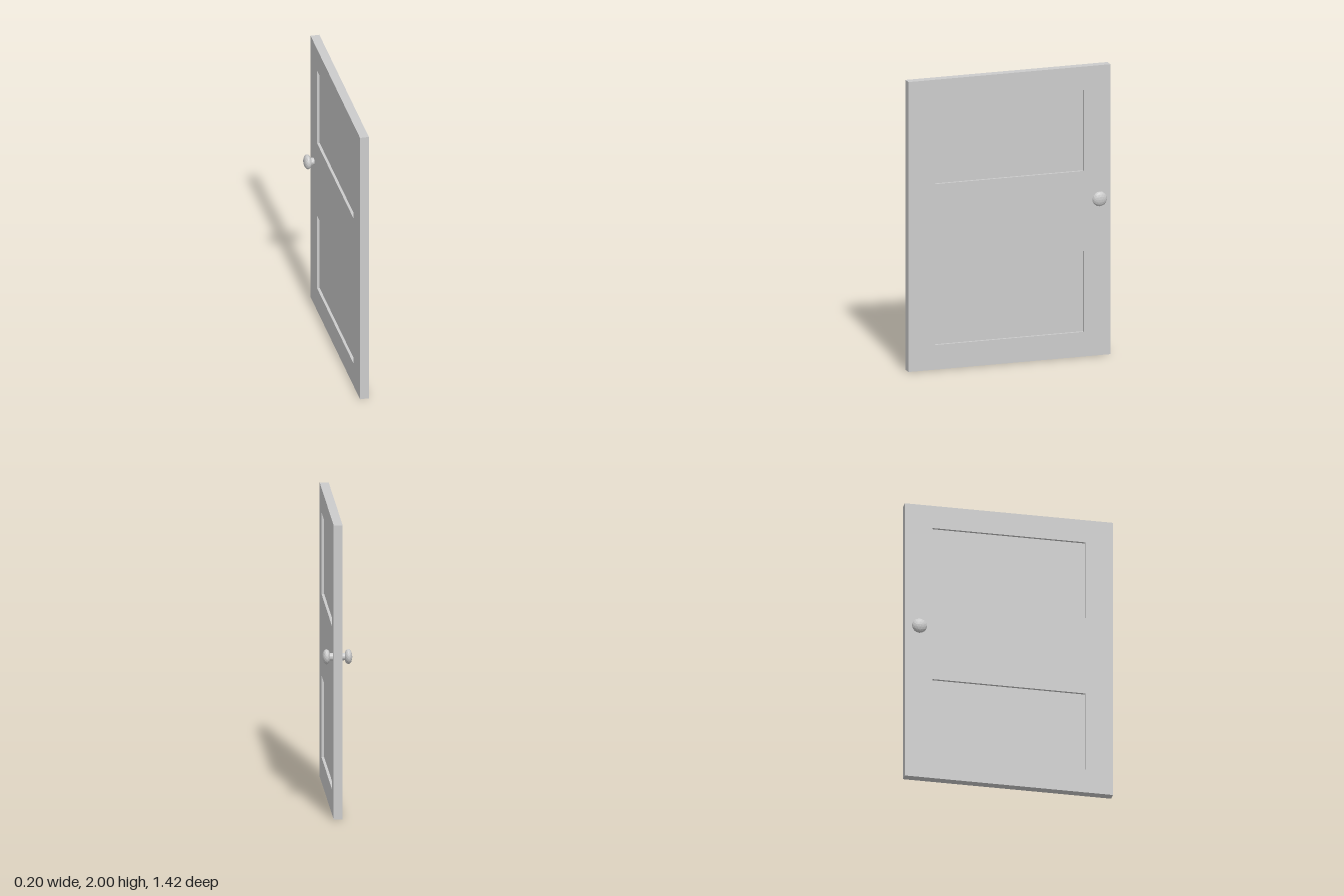
import * as THREE from 'three';

export function createModel() {
  const group = new THREE.Group();
  const material = new THREE.MeshStandardMaterial({ color: 0xcccccc, flatShading: true });
  const add = (name, geometry, x, y, z) => {
    const mesh = new THREE.Mesh(geometry, material);
    mesh.name = name;
    mesh.position.set(x, y, z);
    group.add(mesh);
    return mesh;
  };

  const halfWidth = 0.71, thickness = 0.06, panelHalf = 0.523, recess = 0.018;
  const panels = [[0.17, 0.727], [1.28, 1.837]];

  // Frame: slab outline with two openings, extruded through the thickness
  const rect = (path, w, y0, y1) => path.moveTo(-w, y0).lineTo(w, y0).lineTo(w, y1).lineTo(-w, y1).closePath();
  const outline = new THREE.Shape();
  rect(outline, halfWidth, 0, 2);
  for (const [y0, y1] of panels) {
    const hole = new THREE.Path();
    rect(hole, panelHalf, y0, y1);
    outline.holes.push(hole);
  }
  const frame = new THREE.ExtrudeGeometry(outline, { depth: thickness, bevelEnabled: false });
  frame.translate(0, 0, -thickness / 2).rotateY(Math.PI / 2);
  add('doorFrame', frame, 0, 0, 0);

  // Recessed panels filling the openings
  panels.forEach(([y0, y1], i) => {
    const panel = new THREE.BoxGeometry(thickness - 2 * recess, y1 - y0, panelHalf * 2);
    add(i ? 'upperPanel' : 'lowerPanel', panel, 0, (y0 + y1) / 2, 0);
  });

  // Stem and flattened knob on both faces
  for (const [side, label] of [[1, 'left'], [-1, 'right']]) {
    const stem = new THREE.CylinderGeometry(0.025, 0.025, 0.035, 16).rotateZ(Math.PI / 2);
    add(label + 'KnobStem', stem, side * 0.0455, 1.09, -0.62);
    const knob = add(label + 'Knob', new THREE.IcosahedronGeometry(1, 2), side * 0.073, 1.09, -0.62);
    knob.scale.set(0.027, 0.051, 0.051);
  }
  return group;
}
